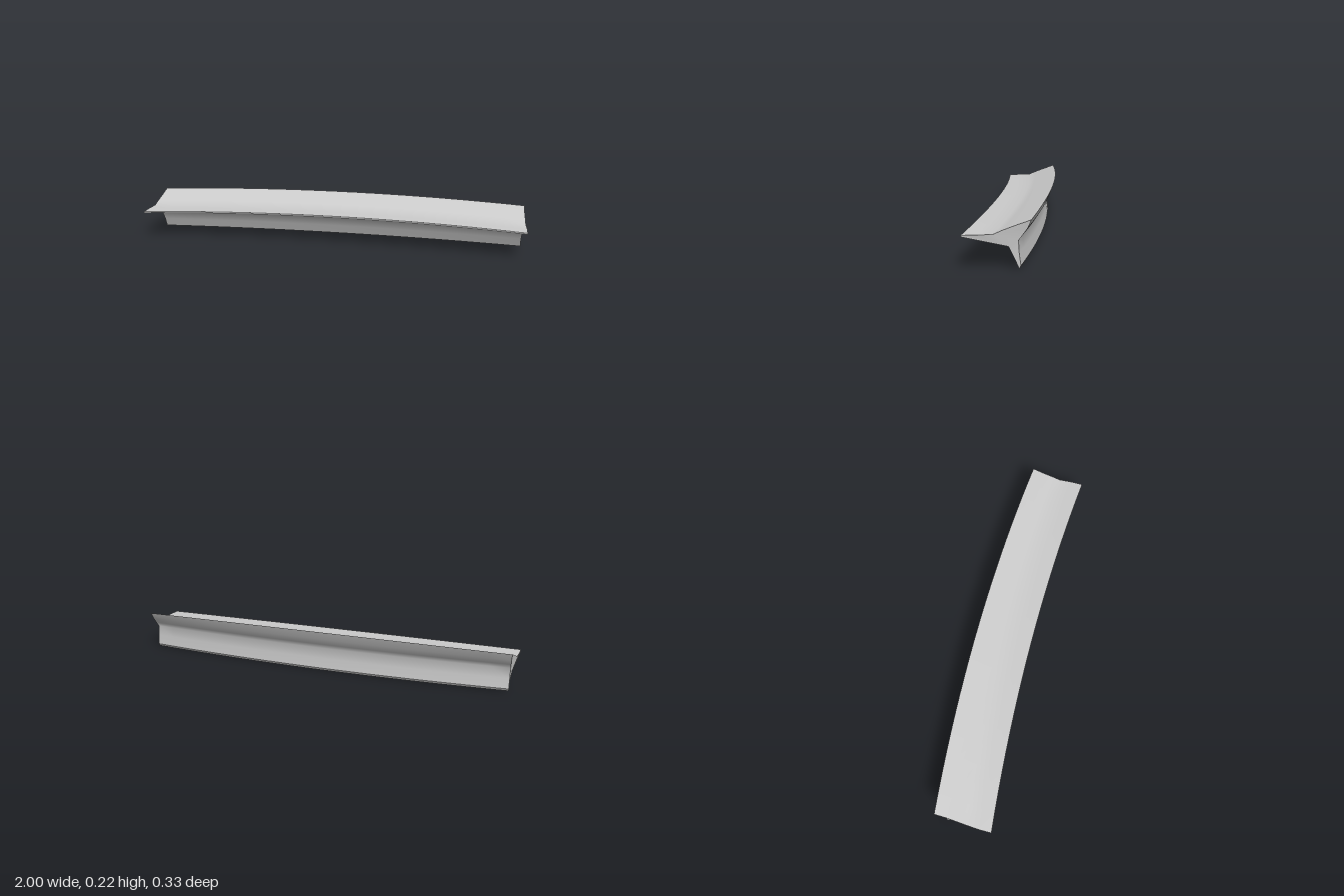
import * as THREE from 'three';

// Profile at the ends as [z, y, half length, rise towards the middle],
// split into strips that are smooth inside and sharp where they meet.
const tipTop = [0.165, 0.139, 1, 0.018];
const tipLow = [0.165, 0.132, 1, 0.017];
const crest = [-0.12, 0.205, 0.99, 0.017];
const heelBack = [-0.077, 0.013, 0.98, 0];
const heelFront = [-0.07, 0, 0.98, 0];

const strips = {
  topSurface: [tipTop, [0.1, 0.141, 1, 0.018], [0.035, 0.144, 0.995, 0.018],
    [0, 0.16, 0.993, 0.016], [-0.06, 0.183, 0.99, 0.017], crest],
  backSurface: [crest, [-0.105, 0.17, 0.985, 0.01], [-0.085, 0.142, 0.983, 0.004],
    [-0.067, 0.118, 0.98, 0.002], [-0.07, 0.065, 0.98, 0], heelBack],
  lowerEdge: [heelBack, heelFront],
  underSurface: [heelFront, [-0.05, 0.045, 0.98, 0.002], [-0.027, 0.093, 0.985, 0.005],
    [0.06, 0.111, 0.993, 0.012], tipLow],
  frontEdge: [tipLow, tipTop],
};

const SEGMENTS = 20;
const SWEEP = 0.048; // how far the middle bows backwards

// Point of the profile at t = -1..1 along the length
function place([z, y, half, rise], t) {
  const bow = 1 - t * t;
  return [half * t, y + rise * bow, z - SWEEP * bow];
}

function buildGeometry(positions, index) {
  const geometry = new THREE.BufferGeometry();
  geometry.setAttribute('position', new THREE.Float32BufferAttribute(positions, 3));
  geometry.setIndex(index);
  geometry.computeVertexNormals();
  return geometry;
}

function stripGeometry(profile) {
  const positions = [], index = [], row = SEGMENTS + 1;
  profile.forEach((point, i) => {
    for (let j = 0; j <= SEGMENTS; j++) {
      positions.push(...place(point, (j / SEGMENTS) * 2 - 1));
      if (i < profile.length - 1 && j < SEGMENTS) {
        const a = i * row + j, c = a + row;
        index.push(a, a + 1, c, a + 1, c + 1, c);
      }
    }
  });
  return buildGeometry(positions, index);
}

function capGeometry(side) {
  const outline = Object.values(strips).flatMap((s) => s.slice(0, -1));
  const flat = outline.map(([z, y]) => new THREE.Vector2(z, y));
  const faces = THREE.ShapeUtils.triangulateShape(flat, []);
  return buildGeometry(outline.flatMap((p) => place(p, side)), faces.flat());
}

export function createModel() {
  const model = new THREE.Group();
  model.name = 'curvedMoulding';
  const material = new THREE.MeshStandardMaterial({ color: 0xcccccc, side: THREE.DoubleSide });
  const add = (name, geometry) => {
    const mesh = new THREE.Mesh(geometry, material);
    mesh.name = name;
    model.add(mesh);
  };

  // Long bowed surfaces
  for (const [name, profile] of Object.entries(strips)) add(name, stripGeometry(profile));

  // End faces
  add('leftEnd', capGeometry(1));
  add('rightEnd', capGeometry(-1));
  return model;
}
